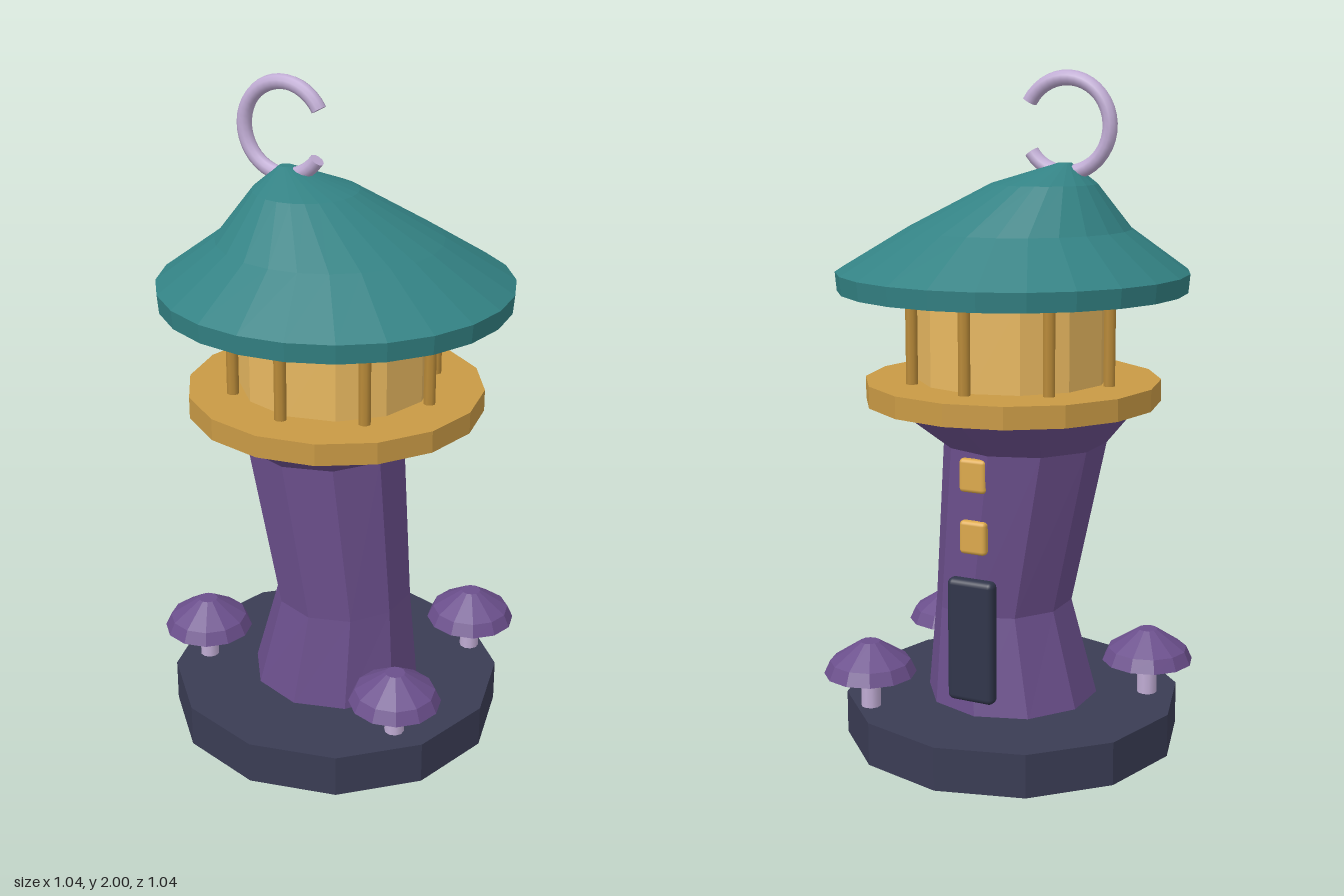
import * as THREE from 'three';
import { RoundedBoxGeometry } from 'three/addons/geometries/RoundedBoxGeometry.js';

const mat = (color, flatShading = true) => new THREE.MeshStandardMaterial({ color, flatShading });
const purple = mat(0x6b4f8c), gold = mat(0xc99a45), glow = mat(0xe8b860);
const teal = mat(0x338284), slate = mat(0x3a3c54), doorDark = mat(0x30354a, false);
const lilac = mat(0xc0acd4, false), brass = mat(0xb98a38, false), pane = mat(0xdca94c, false);

// Closed loft through rings listed from top to bottom: [y, centreX, radiusX, radiusZ]
function loft(rings, sides) {
  const last = rings.length - 1;
  const g = new THREE.CylinderGeometry(1, 1, 1, sides, last);
  const p = g.attributes.position;
  for (let i = 0; i < p.count; i++) {
    const [y, cx, rx, rz = rx] = rings[Math.round((0.5 - p.getY(i)) * last)];
    p.setXYZ(i, cx + p.getX(i) * rx, y, p.getZ(i) * rz);
  }
  const flat = g.toNonIndexed();
  flat.computeVertexNormals();
  return flat;
}

// Upright cylinder from y0 to y1
const drum = (r, y0, y1, sides) => new THREE.CylinderGeometry(r, r, y1 - y0, sides).translate(0, (y0 + y1) / 2, 0);

export function createModel() {
  const model = new THREE.Group();
  const add = (name, geometry, material, parent = model) => {
    const mesh = new THREE.Mesh(geometry, material);
    mesh.name = name;
    parent.add(mesh);
    return mesh;
  };

  // Base and crooked tower
  add('base', drum(0.51, 0, 0.13, 12), slate);
  add('tower', loft([[0.92, -0.04, 0.245], [0.42, 0.03, 0.207, 0.217], [0.12, 0, 0.262]], 10), purple);
  add('corbel', loft([[1.045, 0, 0.388, 0.372], [0.92, -0.04, 0.245]], 10), purple);

  // Gallery deck, lantern room and ring of posts
  add('deck', drum(0.44, 1.04, 1.105, 16), gold);
  add('lanternRoom', drum(0.285, 1.1, 1.365, 12), glow);
  for (let i = 0; i < 8; i++) {
    const a = (i * Math.PI) / 4;
    add('post', drum(0.018, 1.1, 1.36, 8), brass).position.set(Math.sin(a) * 0.31, 0, Math.cos(a) * 0.31);
  }

  // Roof leaning towards its hook
  add('roof', loft([
    [1.74, -0.165, 0.02], [1.68, -0.1, 0.155], [1.55, -0.02, 0.33],
    [1.425, 0, 0.52], [1.37, 0, 0.515],
  ], 24), teal);

  // Open ring hook, with closed ends
  const hook = new THREE.Group();
  hook.name = 'hook';
  hook.position.set(-0.17, 1.845, 0);
  model.add(hook);
  const start = 0.52, arc = 5.15, R = 0.133, tube = 0.022;
  add('hookRing', new THREE.TorusGeometry(R, tube, 10, 32, arc).rotateZ(start), lilac, hook);
  for (const [a, flip] of [[start, 1], [start + arc, -1]]) {
    const cap = add('hookEnd', new THREE.CircleGeometry(tube, 10).rotateX(flip * Math.PI / 2), lilac, hook);
    cap.position.set(Math.cos(a) * R, Math.sin(a) * R, 0);
    cap.rotation.z = a;
  }

  // Door and windows on the back
  add('door', new RoundedBoxGeometry(0.15, 0.375, 0.045, 3, 0.018), doorDark).position.set(0.012, 0.36, -0.247);
  for (const y of [0.67, 0.855]) {
    add('window', new RoundedBoxGeometry(0.085, 0.1, 0.03, 2, 0.012), pane).position.set(0.012, y, -0.233);
  }

  // Mushrooms on the base
  for (const [x, z] of [[0.32, -0.316], [0.335, 0.23], [-0.385, 0.15]]) {
    const mushroom = new THREE.Group();
    mushroom.name = 'mushroom';
    mushroom.position.set(x, 0, z);
    model.add(mushroom);
    add('stem', drum(0.03, 0.12, 0.25, 10), lilac, mushroom);
    add('cap', loft([[0.333, 0, 0.03], [0.274, 0, 0.12], [0.235, 0, 0.138]], 12), purple, mushroom);
  }
  return model;
}
